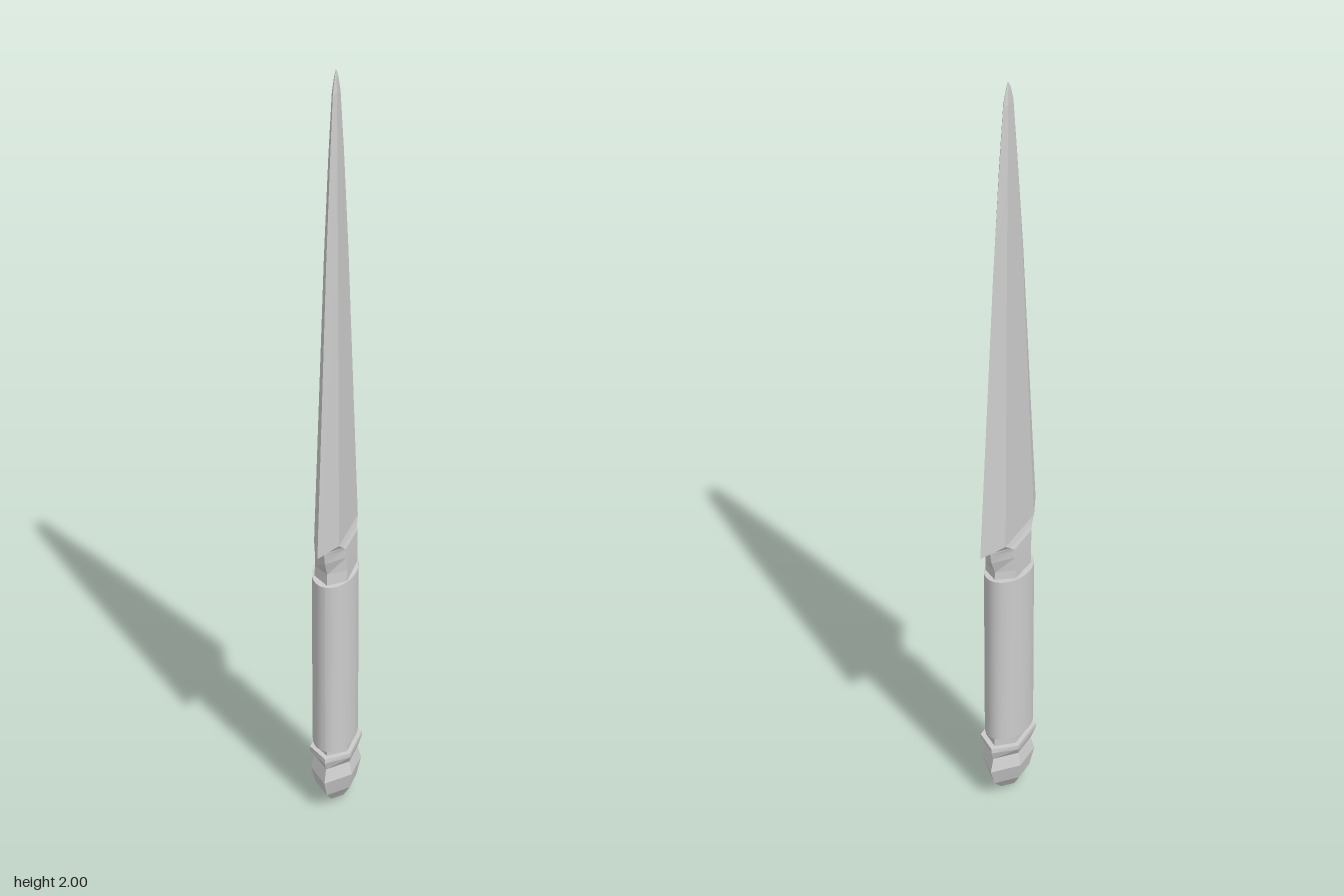
import * as THREE from 'three';

const flat = new THREE.MeshStandardMaterial({ color: 0xcccccc, flatShading: true });
const smooth = new THREE.MeshStandardMaterial({ color: 0xcccccc });

// Lofts six-sided sections [y, half thickness, half width of flat, half width at edge], bottom to top
function hexLoft(name, levels) {
  const rings = levels.map(([y, x, f, e]) => [
    [x, y, -f], [0, y, -e], [-x, y, -f], [-x, y, f], [0, y, e], [x, y, f],
  ]);
  const pos = [];
  const tri = (a, b, c) => pos.push(...a, ...b, ...c);
  for (let r = 0; r < rings.length - 1; r++) {
    for (let i = 0; i < 6; i++) {
      const j = (i + 1) % 6, lo = rings[r], hi = rings[r + 1];
      tri(lo[i], lo[j], hi[j]);
      tri(lo[i], hi[j], hi[i]);
    }
  }
  const bottom = rings[0], top = rings[rings.length - 1];
  for (let i = 1; i < 5; i++) {
    tri(bottom[0], bottom[i + 1], bottom[i]);
    tri(top[0], top[i], top[i + 1]);
  }
  const geo = new THREE.BufferGeometry();
  geo.setAttribute('position', new THREE.Float32BufferAttribute(pos, 3));
  geo.computeVertexNormals();
  const mesh = new THREE.Mesh(geo, flat);
  mesh.name = name;
  return mesh;
}

export function createModel() {
  const group = new THREE.Group();
  group.name = 'dagger';

  // Long tapering blade with a flat middle and two bevelled edges
  group.add(hexLoft('blade', [
    [0.80, 0.032, 0.08, 0.155],
    [1.55, 0.017, 0.042, 0.079],
    [1.80, 0.011, 0.025, 0.047],
    [1.95, 0.006, 0.014, 0.026],
    [1.985, 0.003, 0.006, 0.012],
    [2.00, 0.001, 0.001, 0.002],
  ]));

  // Waisted neck that flares out under the blade
  group.add(hexLoft('neck', [
    [0.66, 0.042, 0.046, 0.08],
    [0.71, 0.042, 0.043, 0.075],
    [0.75, 0.041, 0.046, 0.094],
    [0.775, 0.04, 0.05, 0.1],
    [0.785, 0.036, 0.06, 0.102],
    [0.80, 0.032, 0.08, 0.155],
  ]));

  // Smooth oval grip with slightly slanted ends
  const gripGeo = new THREE.CylinderGeometry(1, 1, 0.49, 40);
  gripGeo.scale(0.055, 1, 0.087);
  const p = gripGeo.attributes.position;
  for (let i = 0; i < p.count; i++) p.setY(i, p.getY(i) - p.getZ(i) * 0.07);
  gripGeo.computeVertexNormals();
  const grip = new THREE.Mesh(gripGeo, smooth);
  grip.name = 'grip';
  grip.position.set(-0.002, 0.44, 0);
  group.add(grip);

  // Collar between grip and pommel
  group.add(hexLoft('collar', [
    [0.165, 0.043, 0.045, 0.08],
    [0.215, 0.043, 0.045, 0.08],
  ]));

  // Faceted pommel with a pinched waist and rounded end
  group.add(hexLoft('pommel', [
    [0.00, 0.006, 0.006, 0.012],
    [0.012, 0.025, 0.016, 0.042],
    [0.05, 0.046, 0.031, 0.082],
    [0.10, 0.055, 0.042, 0.102],
    [0.135, 0.047, 0.036, 0.088],
    [0.16, 0.054, 0.052, 0.099],
    [0.172, 0.054, 0.052, 0.097],
  ]));

  return group;
}
